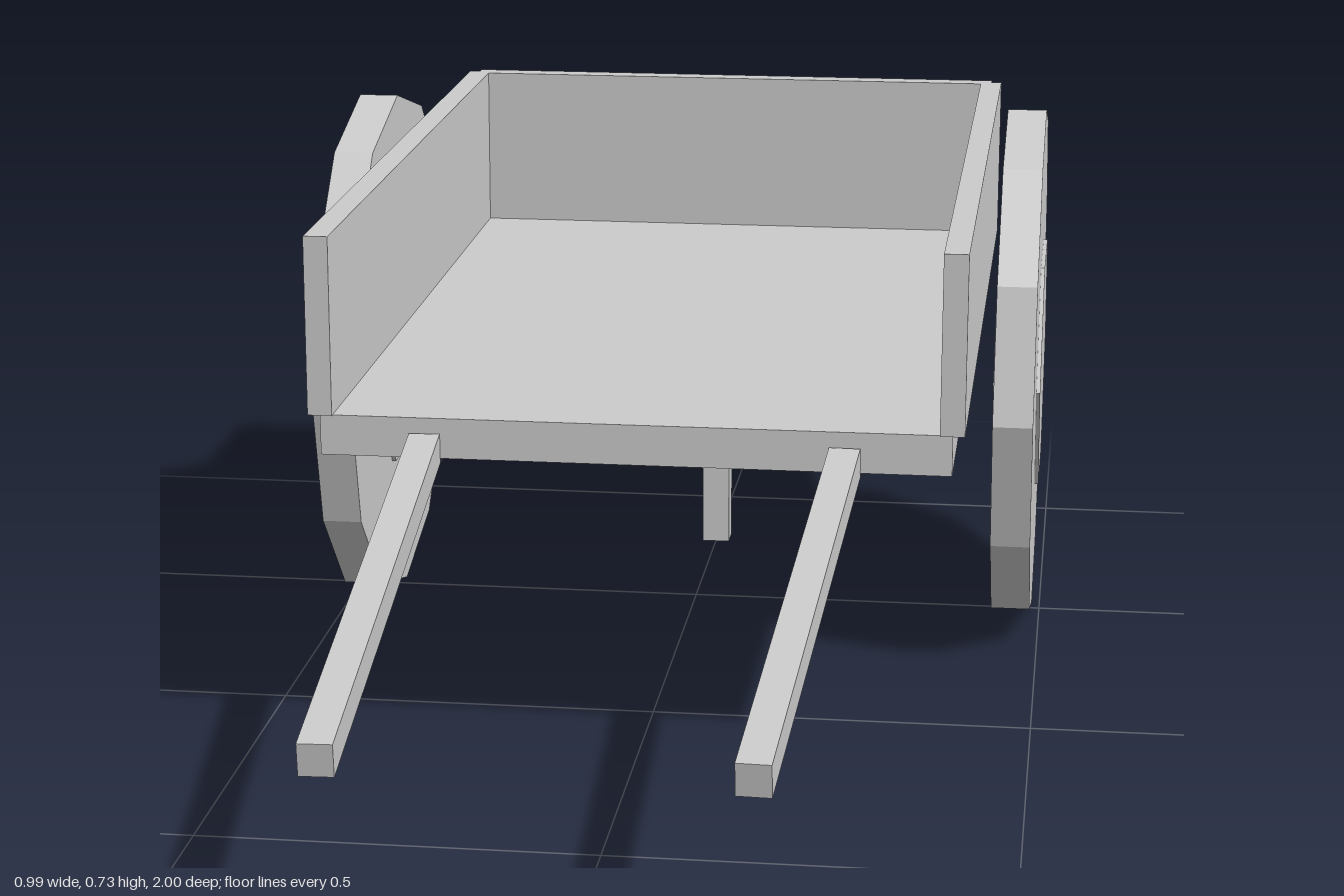
import * as THREE from 'three';

export function createModel() {
  const cart = new THREE.Group();
  cart.name = 'handcart';
  const grey = new THREE.MeshStandardMaterial({ color: 0xcccccc, flatShading: true });
  grey.name = 'plain grey';

  const add = (name, geometry, x, y, z) => {
    const mesh = new THREE.Mesh(geometry, grey);
    mesh.name = name;
    mesh.position.set(x, y, z);
    cart.add(mesh);
    return mesh;
  };
  // Box given by its minimum and maximum corners
  const box = (name, [x0, y0, z0], [x1, y1, z1]) =>
    add(name, new THREE.BoxGeometry(x1 - x0, y1 - y0, z1 - z0),
      (x0 + x1) / 2, (y0 + y1) / 2, (z0 + z1) / 2);
  // Disc with its axis along x and a corner pointing forward
  const disc = (name, radius, width, sides, x, y, z) =>
    add(name, new THREE.CylinderGeometry(radius, radius, width, sides).rotateZ(Math.PI / 2), x, y, z);

  // Bed, tailboard and prop leg
  box('floor', [-0.397, 0.4, -0.983], [0.397, 0.452, 0.2]);
  box('tailboard', [-0.397, 0.452, -1], [0.397, 0.682, -0.97]);
  box('propLeg', [-0.02, 0, -0.803], [0.02, 0.4, -0.764]);

  for (const [side, s] of [['left', 1], ['right', -1]]) {
    // Side board, slightly overhanging the floor
    const board = box(side + 'SideBoard', [0.381, 0.452, -0.985], [0.412, 0.682, 0.205]);
    board.position.x *= s;

    // Solid wheel with a hexagonal hub
    disc(side + 'Wheel', 0.362, 0.054, 12, s * 0.462, 0.365, -0.52);
    disc(side + 'Hub', 0.181, 0.065, 6, s * 0.462, 0.365, -0.52);

    // Handle sloping down and inward from the front of the floor
    const start = new THREE.Vector3(s * 0.264, 0.413, 0.2);
    const end = new THREE.Vector3(s * 0.231, 0.3, 0.998);
    const middle = start.clone().add(end).multiplyScalar(0.5);
    const handle = add(side + 'Handle',
      new THREE.BoxGeometry(0.039, 0.039, start.distanceTo(end)), middle.x, middle.y, middle.z);
    handle.lookAt(end);
  }
  return cart;
}
